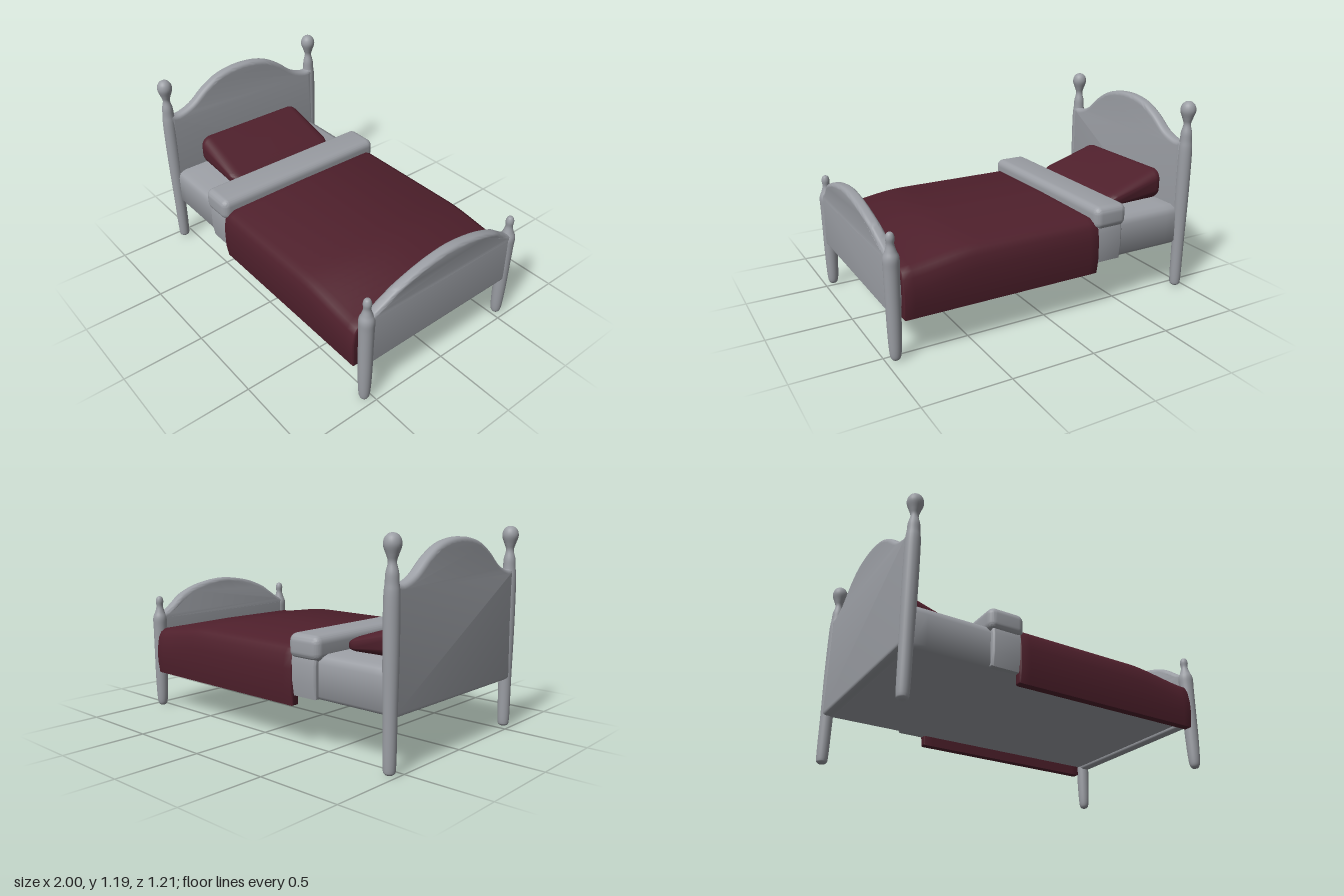
import * as THREE from 'three';
import { toCreasedNormals } from 'three/addons/utils/BufferGeometryUtils.js';
import { RoundedBoxGeometry } from 'three/addons/geometries/RoundedBoxGeometry.js';

const V = (x, y) => new THREE.Vector2(x, y);

// Moves every vertex by a rule, then smooths the surface
function deform(geometry, rule = () => {}) {
  const p = geometry.attributes.position;
  const v = new THREE.Vector3();
  for (let i = 0; i < p.count; i++) {
    v.fromBufferAttribute(p, i);
    rule(v);
    p.setXYZ(i, v.x, v.y, v.z);
  }
  return toCreasedNormals(geometry, 0.9);
}

// Mirrors half an outline, given from the lower edge up to the middle
const mirrored = half => [
  ...half,
  ...half.filter(p => p[0] > 0).reverse().map(([z, y]) => [-z, y]),
];

// Extrudes a (z, y) outline along x with rounded edges
function extrudeX(points, x0, x1, bevel, steps = 1) {
  const shape = new THREE.Shape(points.map(([z, y]) => V(z, y)));
  const g = new THREE.ExtrudeGeometry(shape, {
    depth: x1 - x0 - 2 * bevel, steps, bevelThickness: bevel,
    bevelSize: bevel, bevelOffset: -bevel, bevelSegments: 4,
  });
  return g.rotateY(Math.PI / 2).translate(x0 + bevel, 0, 0);
}

// Smooth crest curve running from the shoulder to the middle
function crest(points) {
  const back = points.slice(0, -1).reverse().map(([z, y]) => [-z, y]);
  const curve = new THREE.SplineCurve([...points, ...back].map(([z, y]) => V(z, y)));
  return curve.getPoints(48).map(p => [p.x, p.y]);
}

// Turned post from a few radius and height pairs
function turned(profile) {
  const curve = new THREE.SplineCurve(profile.map(([r, y]) => V(r, y)));
  const pts = curve.getPoints(56).map(p => V(Math.max(p.x, 0), p.y));
  return new THREE.LatheGeometry(pts, 24);
}

export function createModel() {
  const bed = new THREE.Group();
  bed.name = 'bed';
  const grey = new THREE.MeshStandardMaterial({ color: 0x9b9ea4 });
  grey.name = 'pale grey';
  const red = new THREE.MeshStandardMaterial({ color: 0x4f202c });
  red.name = 'dark red';
  const add = (name, geometry, material) => {
    const mesh = new THREE.Mesh(geometry, material);
    mesh.name = name;
    bed.add(mesh);
    return mesh;
  };

  // Headboard with arched crest
  const headTop = crest([[0.56, 0.965], [0.5, 0.953], [0.4, 0.99], [0.3, 1.068],
    [0.2, 1.125], [0.1, 1.152], [0, 1.16]]);
  add('headboard', deform(extrudeX([[-0.575, 0.3], [0.575, 0.3], ...headTop],
    -0.985, -0.912, 0.025)), grey);

  // Footboard, its crest leaning outward
  const footTop = crest([[0.56, 0.61], [0.5, 0.632], [0.43, 0.68], [0.35, 0.733],
    [0.2, 0.785], [0, 0.81]]);
  add('footboard', deform(extrudeX([[-0.565, 0.285], [0.565, 0.285], ...footTop],
    0.908, 0.975, 0.022), v => {
    v.x += 0.025 * THREE.MathUtils.smoothstep(v.y, 0.6, 0.78);
  }), grey);

  // Turned posts at the four corners
  const headPost = turned([[0, 0.01], [0.025, 0.018], [0.034, 0.06], [0.037, 0.3],
    [0.042, 0.6], [0.042, 0.88], [0.036, 0.96], [0.033, 1.01], [0.022, 1.06],
    [0.031, 1.095], [0.046, 1.14], [0.04, 1.175], [0.02, 1.196], [0, 1.2]]);
  const footPost = turned([[0, 0.01], [0.022, 0.016], [0.033, 0.06], [0.039, 0.2],
    [0.041, 0.35], [0.043, 0.52], [0.044, 0.59], [0.03, 0.63], [0.021, 0.665],
    [0.024, 0.7], [0.016, 0.725], [0, 0.732]]);
  for (const side of [1, -1]) {
    const s = side > 0 ? 'Left' : 'Right';
    add('headPost' + s, headPost, grey).position.set(-0.953, 0, side * 0.56);
    add('footPost' + s, footPost, grey).position.set(0.943, 0, side * 0.54);
  }

  // Bedding sinks a little toward the foot
  const sink = v => {
    if (v.y > 0.4) v.y -= 0.05 * THREE.MathUtils.smoothstep(v.x, 0.45, 0.92);
  };

  // Mattress
  add('mattress', deform(extrudeX(mirrored([[0.545, 0.305], [0.562, 0.325],
    [0.562, 0.5], [0.55, 0.535], [0.515, 0.55], [0, 0.55]]),
  -0.93, 0.92, 0.01, 24), sink), grey);

  // Blanket hanging over both sides
  const drape = (z, bottom, top) => [
    ...mirrored([[z - 0.012, bottom], [z, bottom + 0.08], [z, top - 0.13],
      [z - 0.012, top - 0.06], [z - 0.03, top - 0.026], [z - 0.065, top - 0.006], [0, top]]),
    [-0.54, bottom], [-0.54, 0.5], [0.54, 0.5], [0.54, bottom],
  ];
  add('blanket', deform(extrudeX(drape(0.598, 0.245, 0.583),
    -0.315, 0.905, 0.012, 24), sink), red);

  // Turned-down sheet: a band over the sides and a thick roll on top
  add('sheetBand', deform(extrudeX(drape(0.59, 0.305, 0.62), -0.48, -0.3, 0.012)), grey);
  add('sheetRoll', deform(new RoundedBoxGeometry(0.22, 0.14, 1.2, 5, 0.045)
    .translate(-0.395, 0.58, 0), v => {
    if (v.y > 0.58 && v.x < -0.4) v.x -= 0.02 * Math.abs(v.z) - 0.01;
  }), grey);

  // Wedge-shaped pillow leaning on the headboard
  add('pillow', deform(new RoundedBoxGeometry(0.43, 0.2, 0.78, 6, 0.07)
    .translate(-0.735, 0.1, -0.015), v => {
    const t = THREE.MathUtils.clamp((v.x + 0.95) / 0.43, 0, 1);
    v.y = 0.548 + v.y * (1.04 - 0.72 * t);
  }), red);

  return bed;
}
